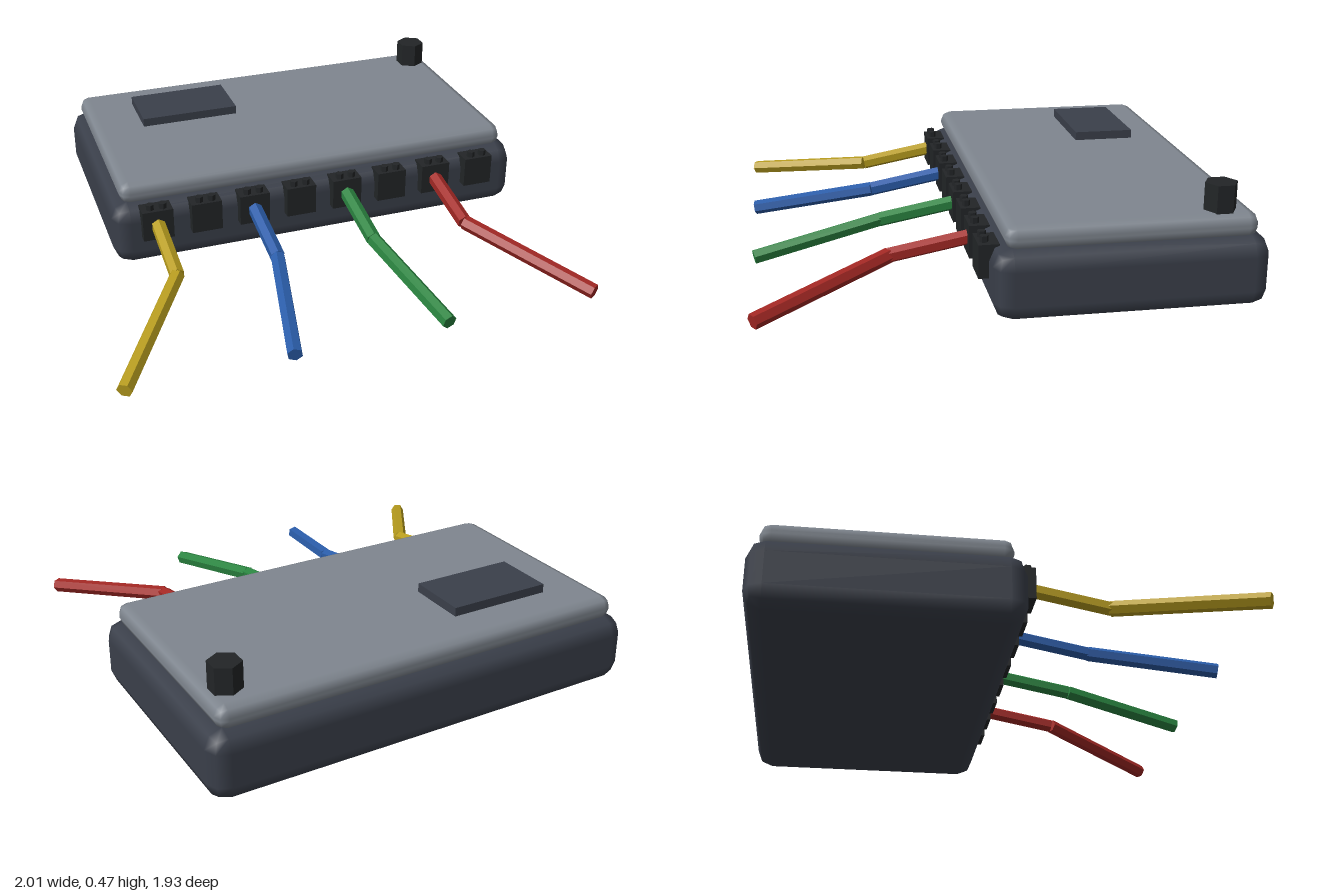
import * as THREE from 'three';
import { RoundedBoxGeometry } from 'three/addons/geometries/RoundedBoxGeometry.js';

const material = (color, flatShading = false) => new THREE.MeshStandardMaterial({ color, flatShading });

export function createModel() {
  const model = new THREE.Group();
  const dark = material(0x3a3f4a);
  const grey = material(0x7f868f);
  const black = material(0x222527, true);

  const add = (name, geometry, mat, x, y, z, parent = model) => {
    const mesh = new THREE.Mesh(geometry, mat);
    mesh.name = name;
    mesh.position.set(x, y, z);
    parent.add(mesh);
    return mesh;
  };

  // A single-step rounded box falls short of its radius by about 9.5%, so pad it to reach the wanted size
  const softBox = (w, h, d, r) => {
    const pad = 0.19 * r;
    return new RoundedBoxGeometry(w + pad, h + pad, d + pad, 1, r);
  };

  // Enclosure and lid
  add('enclosureBase', softBox(1.825, 0.265, 1.04, 0.072), dark, 0.087, 0.1325, -0.445);
  add('enclosureLid', softBox(1.74, 0.087, 0.955, 0.042), grey, 0.085, 0.3065, -0.447);

  // Display panel and hexagonal antenna post on the lid
  add('displayPanel', new THREE.BoxGeometry(0.433, 0.045, 0.257), dark, -0.353, 0.368, -0.622);
  add('antennaPost', new THREE.CylinderGeometry(0.064, 0.064, 0.115, 6), black, 0.868, 0.403, -0.795);

  // Row of terminals, each with two screws on top
  const terminalX = (i) => -0.655 + i * 0.2086;
  for (let i = 0; i < 8; i++) {
    const terminal = new THREE.Group();
    terminal.name = 'terminal' + (i + 1);
    terminal.position.x = terminalX(i);
    model.add(terminal);
    add('terminalBlock', new THREE.BoxGeometry(0.13, 0.132, 0.08), black, 0, 0.198, 0.082, terminal);
    for (const side of [-1, 1]) {
      add('terminalScrew', new THREE.CylinderGeometry(0.017, 0.017, 0.03, 6), black,
        side * 0.027, 0.273, 0.095, terminal);
    }
  }

  // Bent wires leaving every second terminal, two hexagonal rods each
  const rod = (name, from, to, mat, parent) => {
    const direction = to.clone().sub(from);
    const middle = from.clone().add(to).multiplyScalar(0.5);
    const geometry = new THREE.CylinderGeometry(0.031, 0.031, direction.length(), 6);
    const mesh = add(name, geometry, mat, middle.x, middle.y, middle.z, parent);
    mesh.quaternion.setFromUnitVectors(new THREE.Vector3(0, 1, 0), direction.normalize());
  };
  const wires = [
    ['yellowWire', 0xb89d1e, -0.98],
    ['blueWire', 0x2a5ca8, -0.343],
    ['greenWire', 0x2a8440, 0.285],
    ['redWire', 0xa32824, 0.922],
  ];
  wires.forEach(([name, color, endX], i) => {
    const wire = new THREE.Group();
    wire.name = name;
    model.add(wire);
    const x = terminalX(i * 2);
    const mat = material(color, true);
    const bend = new THREE.Vector3(x, 0.14, 0.425);
    rod('wireStart', new THREE.Vector3(x, 0.2, 0.1), bend, mat, wire);
    rod('wireEnd', bend, new THREE.Vector3(endX, 0.045, 0.945), mat, wire);
  });

  return model;
}
